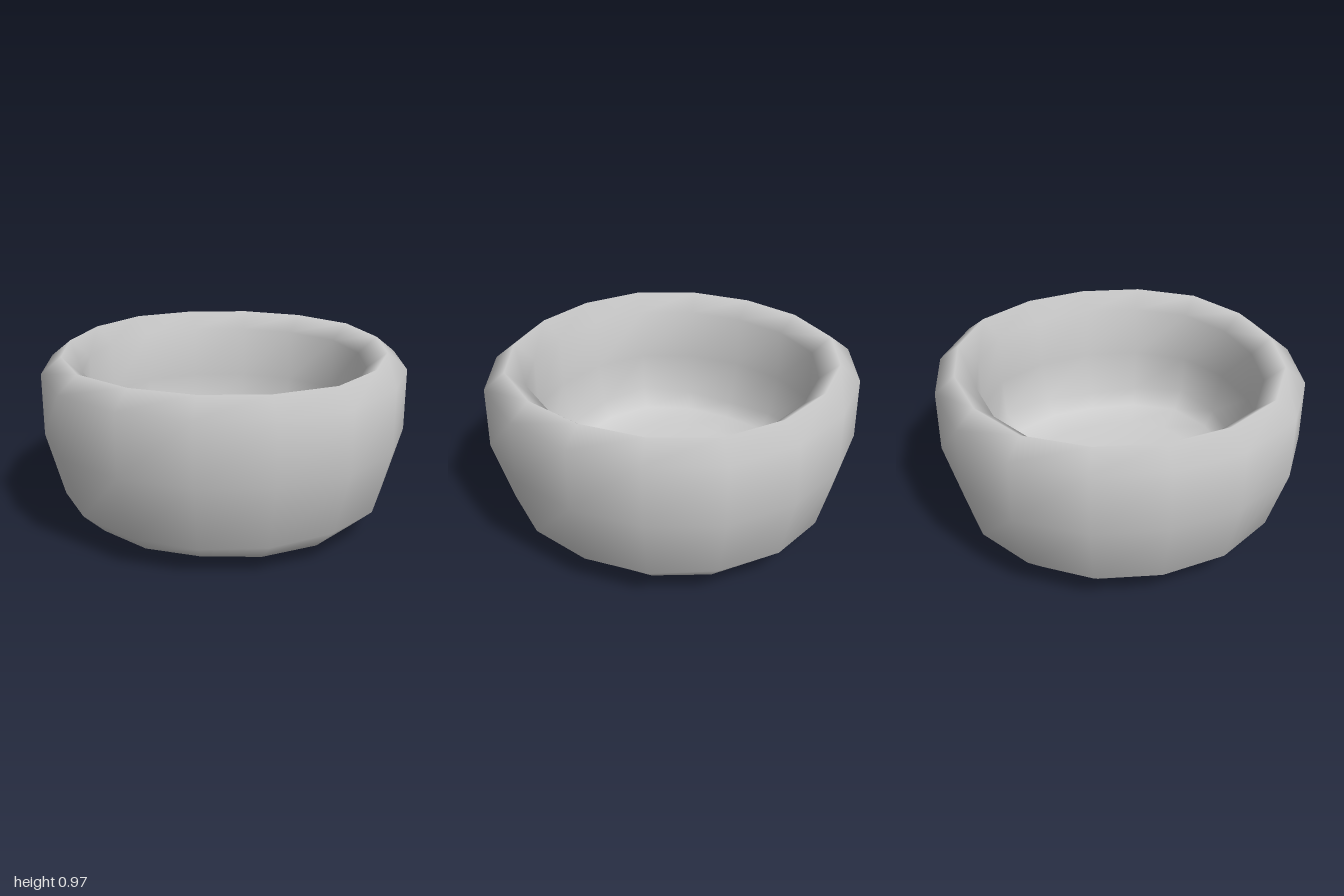
import * as THREE from 'three';

const SIDES = 16;

// Rings from the base centre, up the outside, over the rim and down to the floor.
// Each: radius, height, then radius factors at 22.5 and 45 degrees, and height lift at 45 degrees.
const RINGS = [
  [0.6, 0, 1.02, 1.03, 0],
  [0.78, 0.07, 1.02, 1.03, 0],
  [0.9, 0.17, 1.02, 1.03, 0.02],
  [1, 0.54, 1.012, 1.033, 0],
  [1, 0.88, 1.012, 1.033, 0],
  [0.89, 0.97, 1.012, 1.033, 0],
  [0.78, 0.88, 1.015, 1.042, 0],
  [0.78, 0.58, 1.015, 1.042, 0],
  [0.7, 0.34, 1.05, 1.14, 0.02],
  [0.65, 0.26, 1.04, 1.09, 0],
  [0.52, 0.21, 1.03, 1.06, 0],
];

function bowlGeometry() {
  const positions = [];
  const index = [];
  RINGS.forEach(([r, y, f22, f45, lift]) => {
    const factors = [1, f22, f45, f22];
    const lifts = [0, lift / 2, lift, lift / 2];
    for (let i = 0; i < SIDES; i++) {
      const a = (i / SIDES) * Math.PI * 2;
      const radius = r * factors[i % 4];
      positions.push(Math.sin(a) * radius, y + lifts[i % 4], Math.cos(a) * radius);
    }
  });

  // Centre points of the underside and the inner floor
  const last = (RINGS.length - 1) * SIDES;
  const base = RINGS.length * SIDES;
  positions.push(0, 0, 0, 0, 0.2, 0);

  for (let i = 0; i < SIDES; i++) {
    const j = (i + 1) % SIDES;
    index.push(base, j, i);
    for (let k = 0; k < last; k += SIDES) {
      index.push(k + i, k + j, k + SIDES + j, k + i, k + SIDES + j, k + SIDES + i);
    }
    index.push(last + i, last + j, base + 1);
  }

  const geometry = new THREE.BufferGeometry();
  geometry.setAttribute('position', new THREE.Float32BufferAttribute(positions, 3));
  geometry.setIndex(index);
  geometry.computeVertexNormals();
  return geometry;
}

export function createModel() {
  const group = new THREE.Group();
  group.name = 'bowl';
  const body = new THREE.Mesh(
    bowlGeometry(),
    new THREE.MeshStandardMaterial({ color: 0xcccccc })
  );
  body.name = 'bowlBody';
  group.add(body);
  return group;
}
